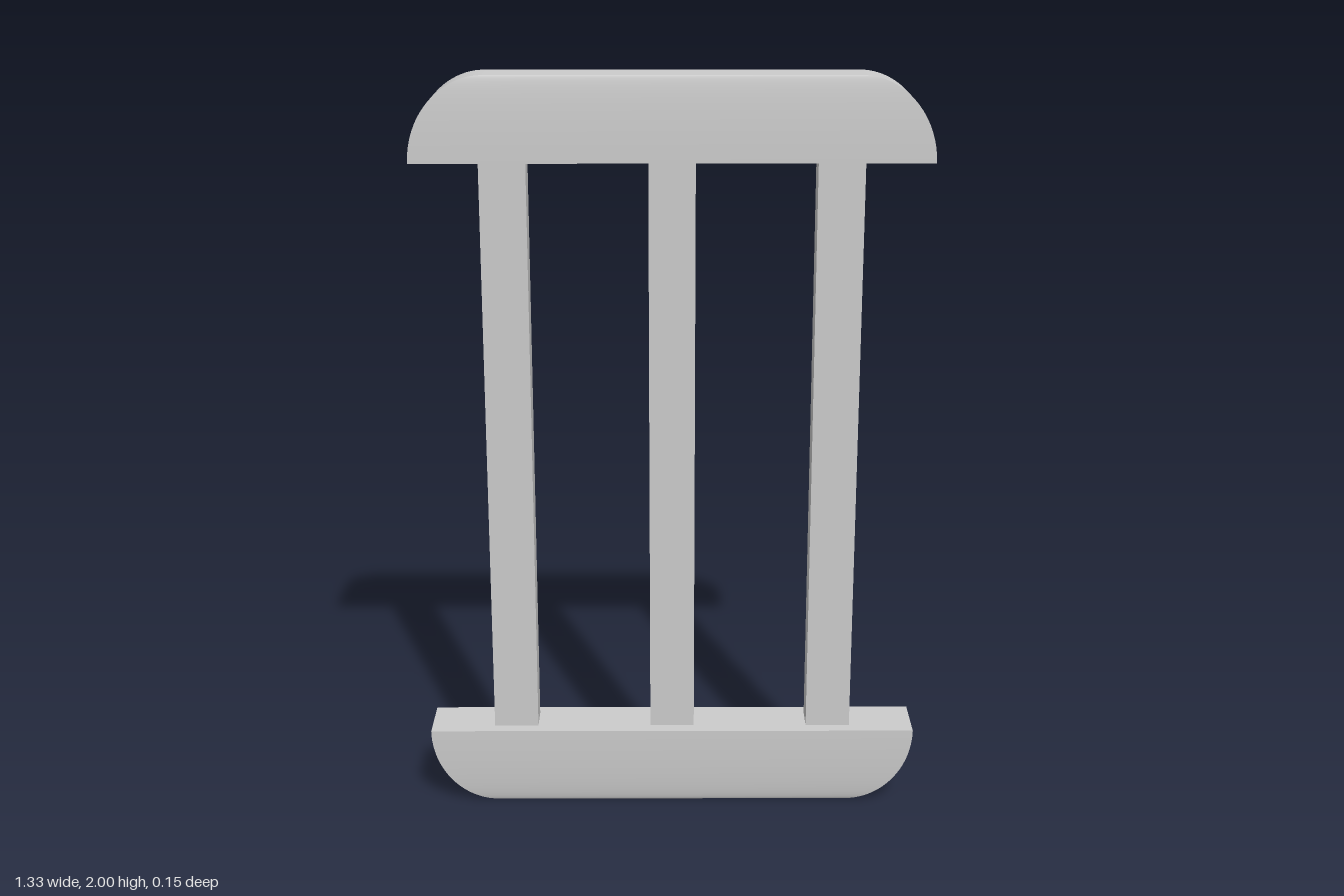
import * as THREE from 'three';

const material = new THREE.MeshStandardMaterial({ color: 0xcccccc });
const RAIL_HEIGHT = 0.217;

// Box whose ends and long sides curve inwards along a quarter ellipse
function railGeometry() {
  const geometry = new THREE.BoxGeometry(2, 1, 2, 1, 24, 1);
  const p = geometry.attributes.position;
  for (let i = 0; i < p.count; i++) {
    const angle = (p.getY(i) + 0.5) * Math.PI / 2;
    const inset = Math.cos(angle);
    p.setXYZ(
      i,
      p.getX(i) * (0.473 + 0.19 * inset),
      RAIL_HEIGHT * Math.sin(angle),
      p.getZ(i) * (0.057 + 0.019 * inset)
    );
  }
  geometry.computeVertexNormals();
  return geometry;
}

export function createModel() {
  const model = new THREE.Group();
  model.name = 'barredFrame';

  // Matching rails, the lower one turned upside down
  const rail = railGeometry();
  const topRail = new THREE.Mesh(rail, material);
  topRail.name = 'topRail';
  topRail.position.y = 2 - RAIL_HEIGHT;
  const bottomRail = new THREE.Mesh(rail, material);
  bottomRail.name = 'bottomRail';
  bottomRail.rotation.x = Math.PI;
  bottomRail.position.y = RAIL_HEIGHT;
  model.add(topRail, bottomRail);

  // Three upright bars between the rails
  const bar = new THREE.BoxGeometry(0.12, 2 - 2 * RAIL_HEIGHT, 0.08);
  const names = ['rightBar', 'middleBar', 'leftBar'];
  names.forEach((name, i) => {
    const mesh = new THREE.Mesh(bar, material);
    mesh.name = name;
    mesh.position.set((i - 1) * 0.43, 1, 0);
    model.add(mesh);
  });

  return model;
}
